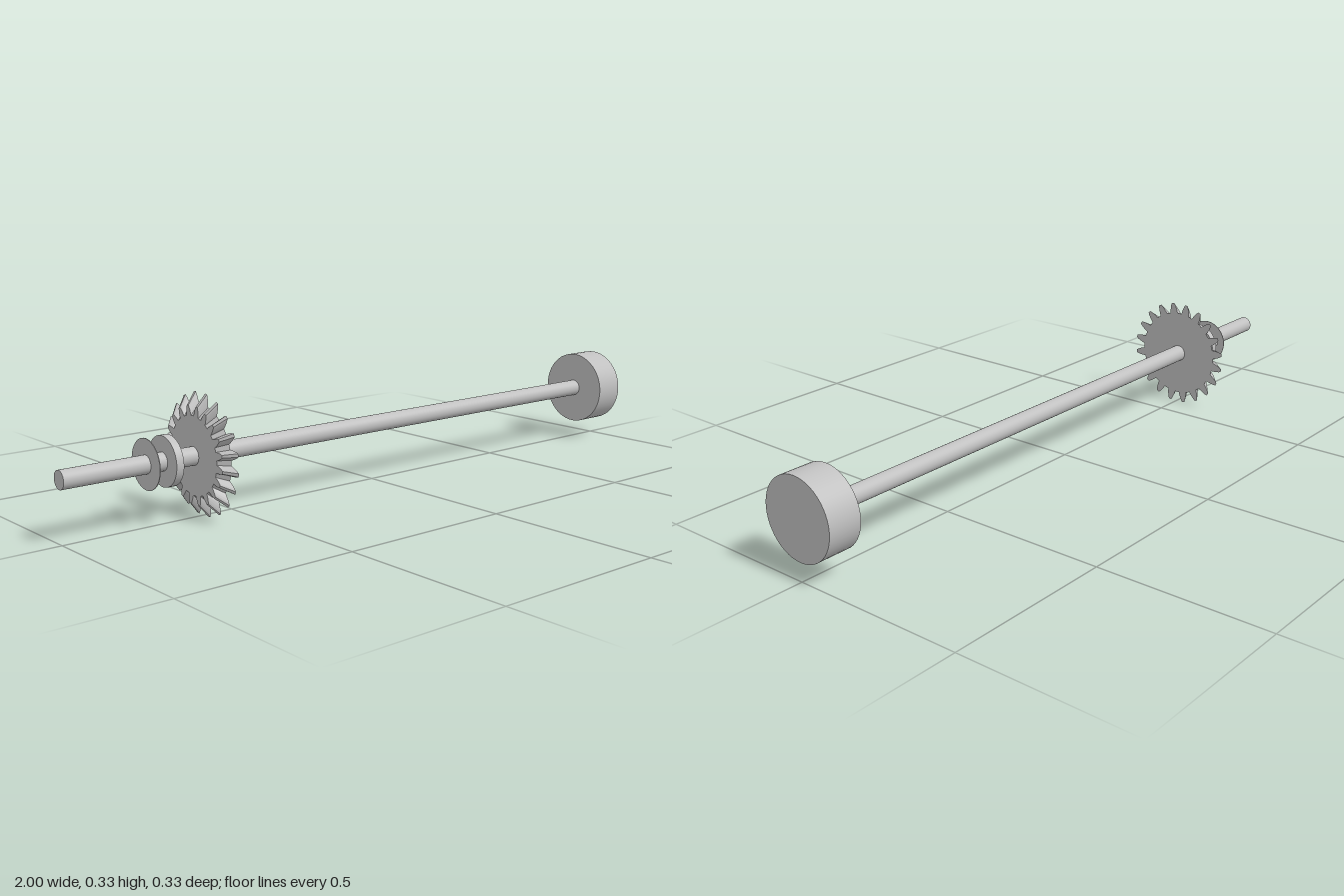
import * as THREE from 'three';

const AXIS_Y = 0.167;

export function createModel() {
  const model = new THREE.Group();
  model.name = 'gearShaft';
  const steel = new THREE.MeshStandardMaterial({ color: 0xc0c0c0 });
  steel.name = 'steel grey';

  function add(name, geometry) {
    const mesh = new THREE.Mesh(geometry, steel);
    mesh.name = name;
    model.add(mesh);
    return mesh;
  }

  // Cylinder lying along x between two stations
  function rod(name, x0, x1, radius, z = 0) {
    const geometry = new THREE.CylinderGeometry(radius, radius, x1 - x0, 48);
    geometry.rotateZ(-Math.PI / 2);
    add(name, geometry).position.set((x0 + x1) / 2, AXIS_Y, z);
  }

  rod('shaft', -1, 0.91, 0.025);
  rod('endKnob', 0.903, 1, 0.113);
  rod('collar', -0.71, -0.688, 0.068);
  rod('thinFlange', -0.759, -0.757, 0.068);
  rod('offsetPin', -0.762, -0.7, 0.009, -0.036);

  // Bevel gear: curved tooth flanks as [radius, half width]
  const teeth = 20;
  const flank = [[0.133, 0.0135], [0.141, 0.0125], [0.15, 0.0105], [0.159, 0.0078], [0.166, 0.0045]];
  const outline = [];
  for (let i = 0; i < teeth; i++) {
    const a = ((i + 0.5) / teeth) * Math.PI * 2;
    const point = (r, w) => outline.push(new THREE.Vector2(
      r * Math.cos(a) - w * Math.sin(a), r * Math.sin(a) + w * Math.cos(a)));
    flank.forEach(([r, w]) => point(r, -w));
    [...flank].reverse().forEach(([r, w]) => point(r, w));
  }
  const depth = 0.027;
  const gear = new THREE.ExtrudeGeometry(new THREE.Shape(outline), { depth, bevelEnabled: false });

  // Taper the teeth towards the smaller end
  const p = gear.attributes.position;
  for (let i = 0; i < p.count; i++) {
    const s = 1 - 0.2 * p.getZ(i) / depth;
    p.setXY(i, p.getX(i) * s, p.getY(i) * s);
  }
  gear.computeVertexNormals();
  gear.rotateY(-Math.PI / 2);
  add('bevelGear', gear).position.set(-0.589, AXIS_Y, 0);

  return model;
}
